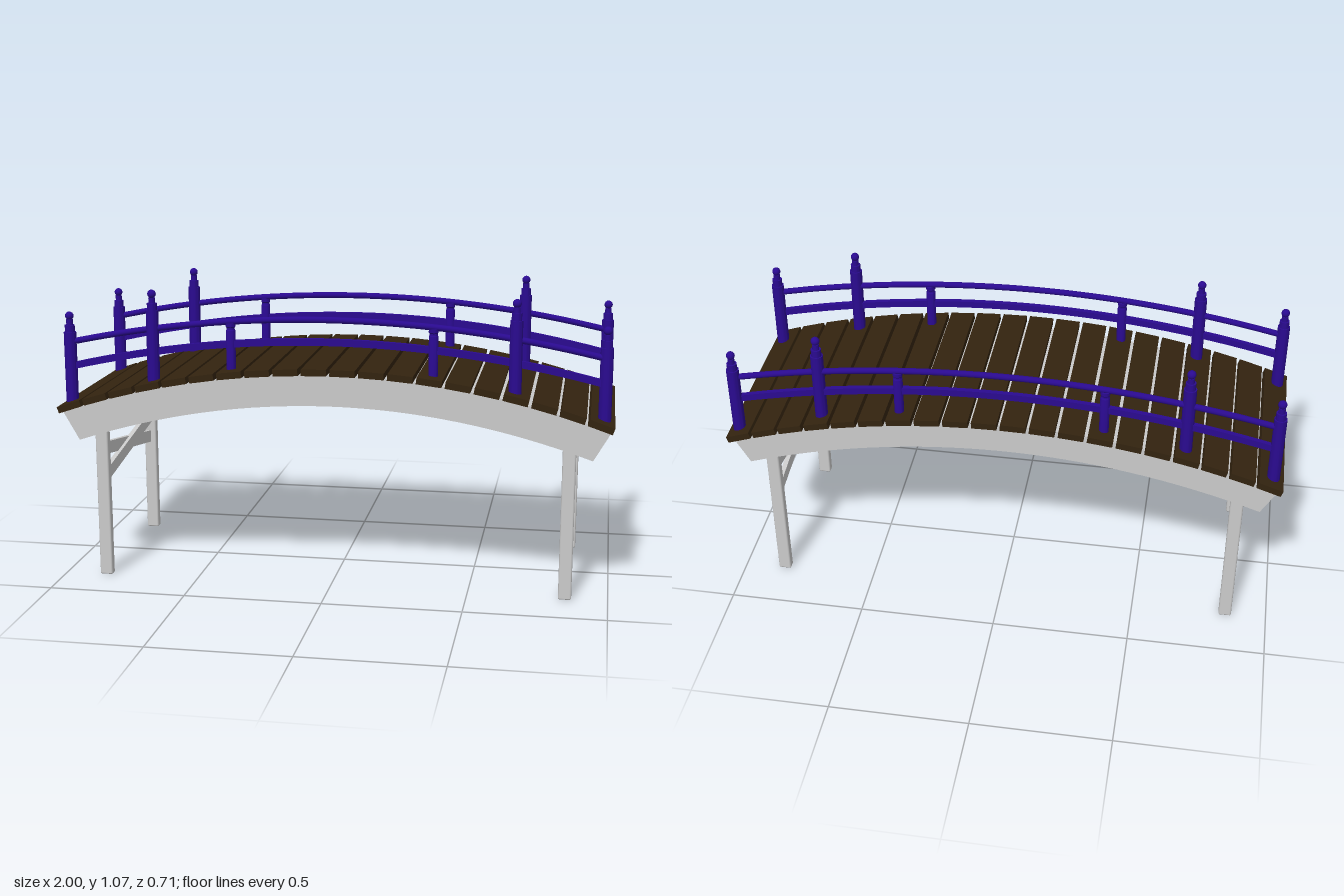
import * as THREE from 'three';
import { toCreasedNormals } from 'three/addons/utils/BufferGeometryUtils.js';
import { RoundedBoxGeometry } from 'three/addons/geometries/RoundedBoxGeometry.js';

const grey = new THREE.MeshStandardMaterial({ color: 0xcccccc });
const wood = new THREE.MeshStandardMaterial({ color: 0x33230f });
const paint = new THREE.MeshStandardMaterial({ color: 0x2a0a90 });

const R = 2.97;               // radius of the arch under the planks
const CROWN = 0.79;           // height of that arch at mid span
const SIDES = [0.284, -0.297]; // z of the two railings

// Points along a shallow arch: y falls by `drop` at x = +-half
function arch(half, top, drop, n = 32) {
  return Array.from({ length: n + 1 }, (_, i) => {
    const t = (i / n) * 2 - 1;
    return new THREE.Vector2(t * half, top - drop * t * t);
  });
}

// Solid band between two arches, extruded along z
function archBand(upper, lower, depth) {
  const shape = new THREE.Shape([...lower, ...upper.slice().reverse()]);
  const geo = new THREE.ExtrudeGeometry(shape, { depth, bevelEnabled: false });
  geo.translate(0, 0, -depth / 2);
  return toCreasedNormals(geo, 0.5);
}

function lathe(points, segments = 20) {
  const geo = new THREE.LatheGeometry(points.map(([r, y]) => new THREE.Vector2(r, y)), segments);
  return toCreasedNormals(geo, 0.6);
}

export function createModel() {
  const model = new THREE.Group();
  const add = (name, geo, mat, x = 0, y = 0, z = 0, parent = model) => {
    const mesh = new THREE.Mesh(geo, mat);
    mesh.name = name;
    mesh.position.set(x, y, z);
    parent.add(mesh);
    return mesh;
  };

  // Arched slab carrying the deck
  add('archSlab', archBand(arch(0.99, CROWN, 0.17), arch(0.93, 0.675, 0.16), 0.644), grey);

  // Planks laid around the arch
  const deck = new THREE.Group();
  deck.name = 'deck';
  model.add(deck);
  const plankGeo = new THREE.BoxGeometry(0.09, 0.024, 0.712);
  for (let i = 0; i < 20; i++) {
    const a = (i - 9.5) * 0.0343;
    const r = R + 0.012;
    const plank = add('plank', plankGeo, wood, r * Math.sin(a), CROWN - R + r * Math.cos(a), 0, deck);
    plank.rotation.z = -a;
  }

  // Legs and their cross braces
  const legGeo = new RoundedBoxGeometry(0.047, 0.59, 0.034, 1, 0.006);
  const braceShape = new THREE.Shape([
    new THREE.Vector2(-0.29, 0.36), new THREE.Vector2(0.29, 0.455),
    new THREE.Vector2(0.29, 0.502), new THREE.Vector2(-0.29, 0.407),
  ]);
  const braceGeo = new THREE.ExtrudeGeometry(braceShape, { depth: 0.018, bevelEnabled: false });
  braceGeo.translate(0, 0, -0.009);
  for (const s of [-1, 1]) {
    const trestle = new THREE.Group();
    trestle.name = 'trestle';
    trestle.position.x = s * 0.848;
    model.add(trestle);
    for (const t of [-1, 1]) {
      add('leg', legGeo, grey, 0, 0.295, t * 0.304, trestle);
      add('crossBrace', braceGeo, grey, t * 0.006, 0, 0, trestle).rotation.y = t * Math.PI / 2;
    }
  }

  // Railing posts: stepped cap with a ball on the tall ones
  const tallPost = (bottom, top) => lathe([
    [0, bottom], [0.0225, bottom], [0.0225, top], [0.018, top], [0.018, top + 0.026],
    [0.012, top + 0.026], [0.012, top + 0.046], [0, top + 0.046],
  ]);
  const endPost = tallPost(0.65, 0.909);
  const innerPost = tallPost(0.725, 0.997);
  const shortPost = lathe([
    [0, 0.765], [0.017, 0.765], [0.017, 0.932], [0.0145, 0.936], [0.0145, 0.942],
    [0.0175, 0.946], [0.0175, 0.958], [0, 0.958],
  ]);
  const ball = new THREE.SphereGeometry(0.0155, 16, 12);

  // Rails following the arch
  const upperCurve = new THREE.CatmullRomCurve3(
    arch(0.955, 0.979, 0.105, 16).map((p) => new THREE.Vector3(p.x, p.y, 0)));
  const upperRail = new THREE.TubeGeometry(upperCurve, 48, 0.0115, 10);
  const lowerRail = archBand(arch(0.955, 0.912, 0.115), arch(0.955, 0.887, 0.115), 0.018);

  for (const z of SIDES) {
    const railing = new THREE.Group();
    railing.name = z > 0 ? 'frontRailing' : 'backRailing';
    railing.position.z = z;
    model.add(railing);
    add('upperRail', upperRail, paint, 0, 0, 0, railing);
    add('lowerRail', lowerRail, paint, 0, 0, 0, railing);
    for (const s of [-1, 1]) {
      const dz = s > 0 ? -0.005 : 0.001;
      add('endPost', endPost, paint, s * 0.964, 0, dz, railing);
      add('endPostBall', ball, paint, s * 0.964, 0.968, dz, railing);
      add('innerPost', innerPost, paint, s * 0.652, 0, 0.003, railing);
      add('innerPostBall', ball, paint, s * 0.652, 1.056, 0.003, railing);
      add('shortPost', shortPost, paint, s * 0.364, 0, 0, railing);
    }
  }
  return model;
}
